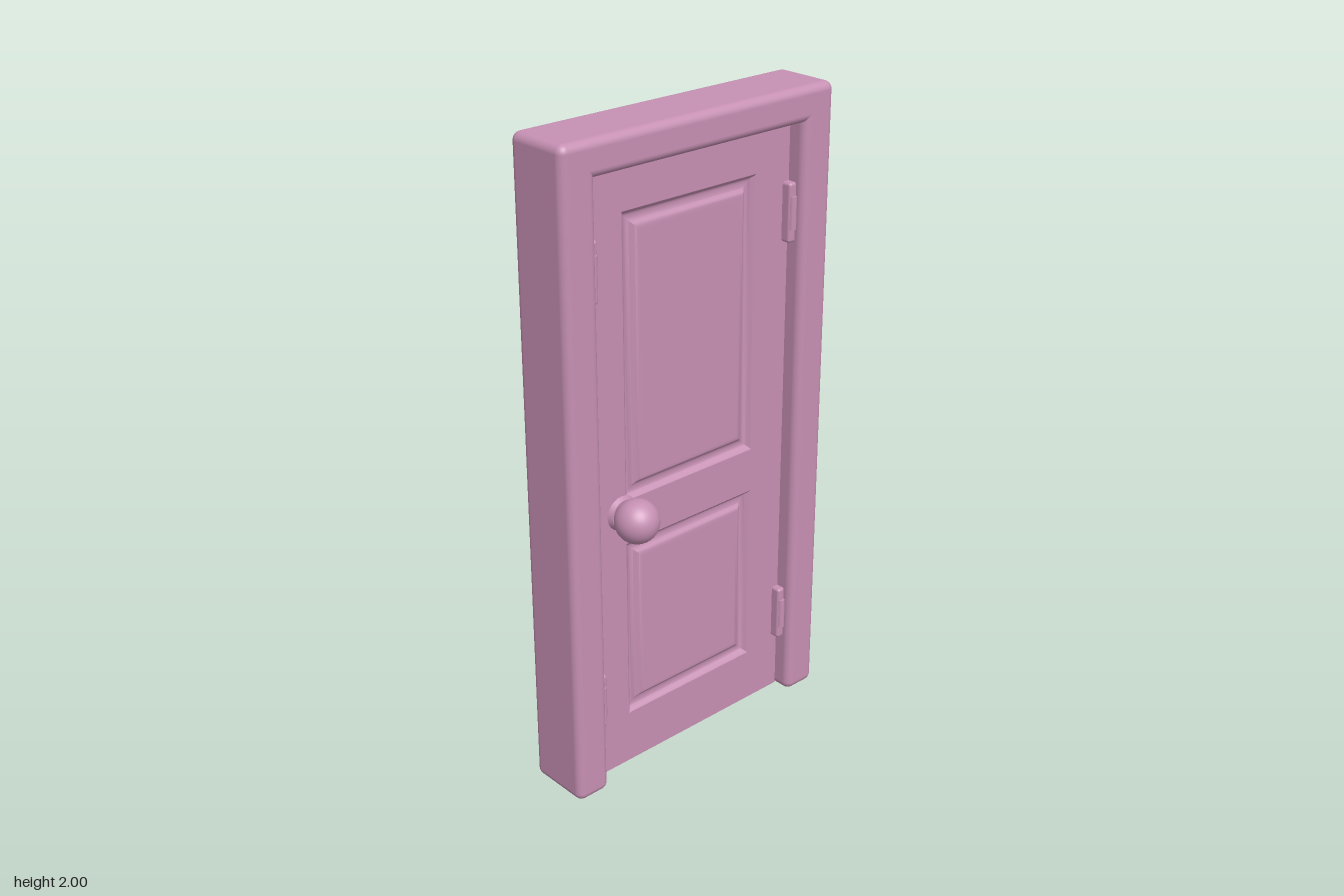
import * as THREE from 'three';
import { toCreasedNormals } from 'three/addons/utils/BufferGeometryUtils.js';
import { RoundedBoxGeometry } from 'three/addons/geometries/RoundedBoxGeometry.js';

const DOOR_Z = 0.045; // half thickness of the door leaf
const PANELS = [
  { name: 'upperPanel', w: 0.25, y0: 0.905, y1: 1.765 },
  { name: 'lowerPanel', w: 0.25, y0: 0.18, y1: 0.765 },
];

export function createModel() {
  const model = new THREE.Group();
  const pink = new THREE.MeshStandardMaterial({ color: 0xc690b3 });
  pink.name = 'dustyPink';

  const add = (geometry, name, parent = model) => {
    const mesh = new THREE.Mesh(geometry, pink);
    mesh.name = name;
    parent.add(mesh);
    return mesh;
  };

  // Frame: two posts and a lintel with softly rounded edges, sharing the top corners
  const W = 0.495, H = 2, depth = 0.21, w = 0.38, h = 1.895, r = 0.025;
  for (const x of [-1, 1]) {
    const post = add(new RoundedBoxGeometry(W - w, H, depth, 4, r), x > 0 ? 'leftPost' : 'rightPost');
    post.position.set(x * (W + w) / 2, H / 2, 0);
  }
  add(new RoundedBoxGeometry(2 * W, H - h, depth, 4, r), 'lintel').position.y = (H + h) / 2;

  // Door leaf with two openings for the panels
  const leaf = new THREE.Shape();
  leaf.moveTo(-w, 0.008).lineTo(w, 0.008).lineTo(w, h).lineTo(-w, h).closePath();
  for (const p of PANELS) {
    const hole = new THREE.Path();
    hole.moveTo(-p.w, p.y0).lineTo(-p.w, p.y1).lineTo(p.w, p.y1).lineTo(p.w, p.y0).closePath();
    leaf.holes.push(hole);
  }
  const leafGeometry = new THREE.ExtrudeGeometry(leaf, { depth: 2 * DOOR_Z, bevelEnabled: false });
  leafGeometry.translate(0, 0, -DOOR_Z);
  add(leafGeometry, 'doorLeaf');

  // Fittings on both faces: panels, knob and hinges
  for (const side of [1, -1]) {
    const face = new THREE.Group();
    face.name = side > 0 ? 'frontFittings' : 'backFittings';
    // the back group is turned round, so its x is flipped
    if (side < 0) face.rotation.y = Math.PI;
    model.add(face);

    for (const p of PANELS) add(panelGeometry(p), p.name, face);

    const knob = new THREE.Group();
    knob.name = 'knob';
    knob.position.set(-0.265 * side, 0.873, 0);
    face.add(knob);
    const rosette = new THREE.CylinderGeometry(0.046, 0.054, 0.016, 32);
    add(rosette.rotateX(Math.PI / 2), 'rosette', knob).position.z = DOOR_Z + 0.006;
    const neck = new THREE.CylinderGeometry(0.035, 0.04, 0.05, 24);
    add(neck.rotateX(Math.PI / 2), 'neck', knob).position.z = 0.075;
    add(new THREE.SphereGeometry(0.066, 32, 24), 'knobBall', knob).position.z = 0.111;

    for (const x of [-1, 1]) {
      for (const y of [0.29, 1.63]) {
        const hinge = add(new RoundedBoxGeometry(0.03, 0.18, 0.05, 3, 0.009), 'hinge', face);
        hinge.position.set(x * 0.371, y, DOOR_Z + 0.005);
        const barrel = add(new THREE.CylinderGeometry(0.013, 0.013, 0.1, 16), 'hingeBarrel', face);
        barrel.position.set(x * 0.372, y, DOOR_Z + 0.025);
      }
    }
  }
  return model;
}

// Raised panel inside a groove: rectangular rings of [inset, z], closed by a flat field
function panelGeometry({ w, y0, y1 }) {
  const rings = [
    [0, DOOR_Z], [0.006, 0.041], [0.013, 0.031], [0.02, 0.028], [0.028, 0.028],
    [0.036, 0.031], [0.044, 0.038], [0.05, 0.042], [0.058, 0.043], [0.064, 0.043],
  ].map(([d, z]) => [
    [-w + d, y0 + d, z], [w - d, y0 + d, z], [w - d, y1 - d, z], [-w + d, y1 - d, z],
  ]);
  const pos = [];
  const quad = (a, b, c, d) => pos.push(...a, ...b, ...c, ...a, ...c, ...d);
  for (let i = 0; i < rings.length - 1; i++) {
    for (let k = 0; k < 4; k++) {
      const n = (k + 1) % 4;
      quad(rings[i][k], rings[i][n], rings[i + 1][n], rings[i + 1][k]);
    }
  }
  quad(...rings[rings.length - 1]);
  const g = new THREE.BufferGeometry();
  g.setAttribute('position', new THREE.Float32BufferAttribute(pos, 3));
  return toCreasedNormals(g, 0.65);
}
